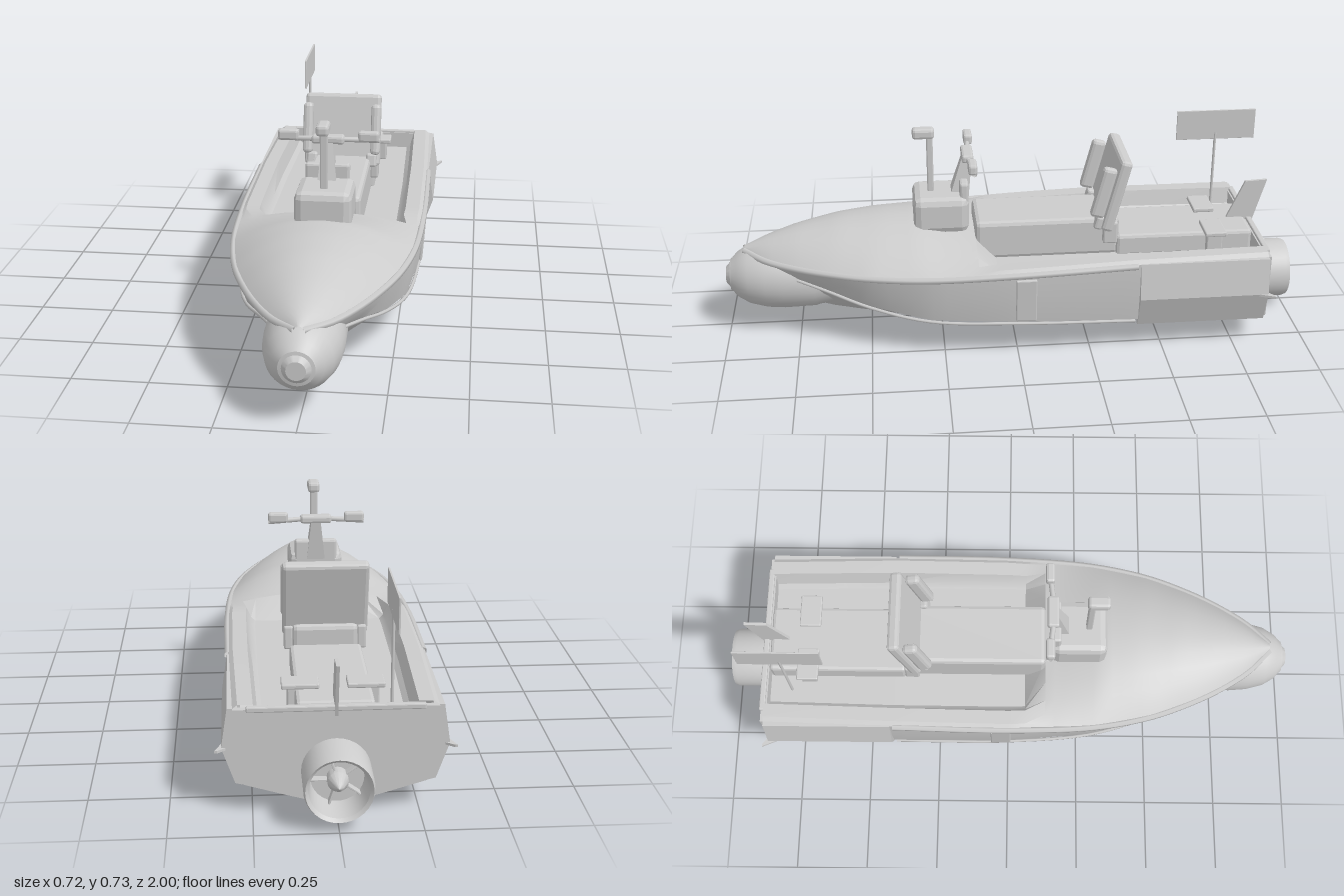
import * as THREE from 'three';
import { toCreasedNormals } from 'three/addons/utils/BufferGeometryUtils.js';
import { RoundedBoxGeometry } from 'three/addons/geometries/RoundedBoxGeometry.js';

const smooth = new THREE.MeshStandardMaterial({ color: 0xcccccc, side: THREE.DoubleSide });
const flat = new THREE.MeshStandardMaterial({ color: 0xcccccc, flatShading: true, side: THREE.DoubleSide });

// Hull stations: z, gunwale x, gunwale y, chine x, chine y, keel y
const STATIONS = [
  [0.93, 0.012, 0.302, 0.008, 0.275, 0.25],
  [0.85, 0.09, 0.296, 0.06, 0.245, 0.16],
  [0.75, 0.155, 0.296, 0.115, 0.232, 0.1],
  [0.65, 0.205, 0.298, 0.16, 0.21, 0.062],
  [0.5, 0.262, 0.301, 0.225, 0.172, 0.03],
  [0.3, 0.303, 0.306, 0.28, 0.138, 0.008],
  [0, 0.32, 0.318, 0.307, 0.13, 0],
  [-0.4, 0.318, 0.333, 0.305, 0.118, 0.004],
  [-0.85, 0.305, 0.335, 0.29, 0.1, 0.015],
];
// Ridge height of the foredeck: z, y
const RIDGE = [[0.93, 0.31], [0.85, 0.342], [0.75, 0.372], [0.6, 0.4], [0.45, 0.41], [0.33, 0.406], [0.14, 0.355], [-1, 0.34]];

function sample(table, z) {
  let i = 0;
  while (i < table.length - 2 && table[i + 1][0] > z) i++;
  const a = table[i], b = table[i + 1], t = (z - a[0]) / (b[0] - a[0]);
  return a.map((v, k) => v + (b[k] - v) * t);
}

// Skin through cross-sections [{z, pts: [[x, y], ...]}]
function loft(sections, crease) {
  const pos = [], index = [], n = sections[0].pts.length;
  sections.forEach(({ z, pts }) => pts.forEach(([x, y]) => pos.push(x, y, z)));
  for (let i = 0; i < sections.length - 1; i++) {
    for (let j = 0; j < n - 1; j++) {
      const a = i * n + j, b = a + n;
      index.push(a, a + 1, b, a + 1, b + 1, b);
    }
  }
  const g = new THREE.BufferGeometry();
  g.setAttribute('position', new THREE.Float32BufferAttribute(pos, 3));
  g.setIndex(index);
  return toCreasedNormals(g, crease);
}

// Half section from gunwale (+x) to the centre, mirrored to a full one
const mirrorSection = (half) => [...half, ...half.slice(0, -1).reverse().map(([x, y]) => [-x, y])];

function hullSection(z) {
  const [, w, gy, cx, cy, ky] = sample(STATIONS, z);
  return mirrorSection([
    [w, gy], [(w + cx) / 2 + 0.006, (gy + cy) / 2], [cx, cy], [cx * 0.93, cy - 0.008],
    [cx * 0.5, ky + (cy - ky) * 0.47], [0, ky]]);
}

function deckSection(z) {
  const [, w, gy] = sample(STATIONS, z);
  const top = sample(RIDGE, z)[1], floor = 0.275;
  const half = z > 0.11
    ? [1, 0.96, 0.85, 0.7, 0.5, 0.25, 0].map((t) => [w * t, gy + (top - gy) * (1 - t ** 2.1)])
    : [[w, gy], [w * 0.95, gy + 0.012], [w * 0.8, gy + 0.012], [w * 0.75, floor + 0.015], [w * 0.7, floor], [w * 0.3, floor], [0, floor]];
  return mirrorSection(half).reverse();
}

export function createModel() {
  const model = new THREE.Group();

  const add = (name, geometry, material = smooth, parent = model) => {
    const mesh = new THREE.Mesh(geometry, material);
    mesh.name = name;
    parent.add(mesh);
    return mesh;
  };
  const block = (name, [w, h, d], [x, y, z], r = 0.01, parent = model) => {
    const mesh = add(name, new RoundedBoxGeometry(w, h, d, 1, r), flat, parent);
    mesh.position.set(x, y, z);
    return mesh;
  };
  const rod = (name, from, to, r, sides = 8) => {
    const path = new THREE.LineCurve3(new THREE.Vector3(...from), new THREE.Vector3(...to));
    return add(name, new THREE.TubeGeometry(path, 1, r, sides));
  };
  // Lathe profile of [radius, z] turned about the long axis
  const turned = (name, profile, y, sides = 32) => {
    const g = new THREE.LatheGeometry(profile.map((p) => new THREE.Vector2(...p)), sides);
    g.rotateX(Math.PI / 2).translate(0, y, 0);
    return add(name, toCreasedNormals(g, 0.5));
  };
  const plate = (name, points, depth, z) => {
    const shape = new THREE.Shape(points.map((p) => new THREE.Vector2(...p)));
    const g = new THREE.ExtrudeGeometry(shape, { depth, bevelEnabled: false });
    return add(name, g.translate(0, 0, z), flat);
  };

  // Hull, deck with sunken footwells, transom
  const hullZ = [], deckZ = [];
  for (let i = 0; i <= 36; i++) hullZ.push(0.93 - (i / 36) * 1.78);
  for (let i = 0; i <= 24; i++) deckZ.push(0.93 - (i / 24) * 0.8);
  deckZ.push(0.06, 0, -0.2, -0.4, -0.6, -0.85);
  add('hull', loft(hullZ.map((z) => ({ z, pts: hullSection(z) })), 0.35));
  add('deck', loft(deckZ.map((z) => ({ z, pts: deckSection(z) })), 0.5));
  plate('transom', hullSection(-0.85), 0.02, -0.86);
  block('sternRail', [0.53, 0.018, 0.02], [0, 0.335, -0.855], 0.004);

  // Nose bulb and jet nozzle
  turned('noseBulb', [[0.085, 0.45], [0.118, 0.68], [0.122, 0.69], [0.125, 0.8], [0.12, 0.86], [0.104, 0.92],
    [0.08, 0.96], [0.06, 0.978], [0.056, 0.984], [0.045, 0.986], [0.03, 1], [0, 1]], 0.2);
  turned('jetNozzle', [[0, -0.9], [0.08, -0.9], [0.09, -0.99], [0.1, -1], [0.105, -0.985], [0.105, -0.82]], 0.133);
  turned('jetHub', [[0, -0.985], [0.015, -0.97], [0.032, -0.935], [0.032, -0.89]], 0.133, 16);
  for (let i = 0; i < 5; i++) {
    const a = (i / 5) * Math.PI * 2;
    const vane = block('jetVane', [0.07, 0.006, 0.03], [Math.cos(a) * 0.055, 0.133 + Math.sin(a) * 0.055, -0.91], 0.001);
    vane.rotation.z = a;
  }

  for (const s of [1, -1]) {
    // Rub rail along the gunwale and spray rail along the chine
    const rail = (name, end, cx, cy, r) => {
      const pts = STATIONS.slice(0, end).map((p) => new THREE.Vector3(s * p[cx], p[cy] - 0.006, p[0]));
      add(name, new THREE.TubeGeometry(new THREE.CatmullRomCurve3(pts), 40, r, 6), smooth);
    };
    rail('rubRail', 8, 1, 2, 0.012);
    rail('sprayRail', 8, 3, 4, 0.006);

    // Stern side pod with a small fin, and a side band
    plate('sidePod', [[0.28, 0.09], [0.3, 0.095], [0.34, 0.21], [0.321, 0.335], [0.29, 0.335]].map(([x, y]) => [s * x, y]), 0.44, -0.85);
    const fin = plate('sideFin', [[0.3, 0.78], [0.327, 0.79], [0.36, 0.87], [0.352, 0.87], [0.3, 0.83]].map(([x, z]) => [s * x, z]), 0.008, 0);
    fin.rotation.x = -Math.PI / 2;
    fin.position.y = 0.203;
    const band = block('sideBand', [0.012, 0.16, 0.07], [s * 0.318, 0.218, -0.025], 0.004);
    band.rotation.z = -s * 0.07;

    // Handlebar arm and grip
    rod('handlebarArm', [s * 0.04, 0.625, 0.15], [s * 0.17, 0.62, 0.135], 0.009);
    block('grip', [0.07, 0.036, 0.03], [s * 0.135, 0.634, 0.14], 0.008);

    // Stern foot pads
    block('footPad', [0.115, 0.016, 0.075], [s * 0.1, 0.352, -0.703], 0.004);
    block('footPadBase', [0.08, 0.07, 0.055], [s * 0.1, 0.31, -0.703], 0.004);
  }

  // Seat and rear engine cover
  block('seat', [0.215, 0.14, 0.5], [0, 0.34, -0.12], 0.015);
  block('engineCover', [0.235, 0.08, 0.48], [0, 0.305, -0.6], 0.012);

  // Tilted backrest with bolsters
  const backrest = new THREE.Group();
  backrest.name = 'backrest';
  backrest.position.set(0, 0.5, -0.353);
  backrest.rotation.x = -0.25;
  model.add(backrest);
  block('backPanel', [0.28, 0.265, 0.042], [0, 0, 0], 0.012, backrest);
  for (const s of [1, -1]) {
    block('bolster', [0.035, 0.185, 0.05], [s * 0.125, 0.005, 0.048], 0.012, backrest);
    block('hinge', [0.04, 0.05, 0.03], [s * 0.11, -0.11, 0.03], 0.008, backrest);
    block('hingeFoot', [0.03, 0.08, 0.05], [s * 0.12, 0.365, -0.335], 0.006);
  }

  // Console, steering column and instrument mast
  block('console', [0.19, 0.13, 0.19], [0, 0.432, 0.245], 0.025);
  block('dashboard', [0.15, 0.09, 0.03], [0, 0.5, 0.165], 0.008);
  const column = add('steeringColumn', new THREE.CylinderGeometry(0.024, 0.045, 0.14, 4).rotateY(Math.PI / 4), flat);
  column.position.set(0, 0.55, 0.165);
  column.rotation.x = -0.2;
  block('handlebarClamp', [0.11, 0.028, 0.04], [0, 0.625, 0.15], 0.008);
  block('mast', [0.026, 0.22, 0.022], [0, 0.6, 0.277], 0.004);
  block('mastHead', [0.042, 0.037, 0.075], [0, 0.708, 0.298], 0.01);

  // Flag on its pole, offset to the right
  rod('flagPole', [-0.175, 0.3, -0.76], [-0.175, 0.6, -0.76], 0.005);
  block('flagPanel', [0.006, 0.11, 0.285], [-0.175, 0.63, -0.76], 0.001);

  // Raked stern fin on the centreline
  const tail = plate('tailFin', [[0.77, 0.335], [0.835, 0.482], [0.912, 0.486], [0.862, 0.31], [0.79, 0.31]], 0.01, -0.005);
  tail.rotation.y = Math.PI / 2;

  return model;
}
